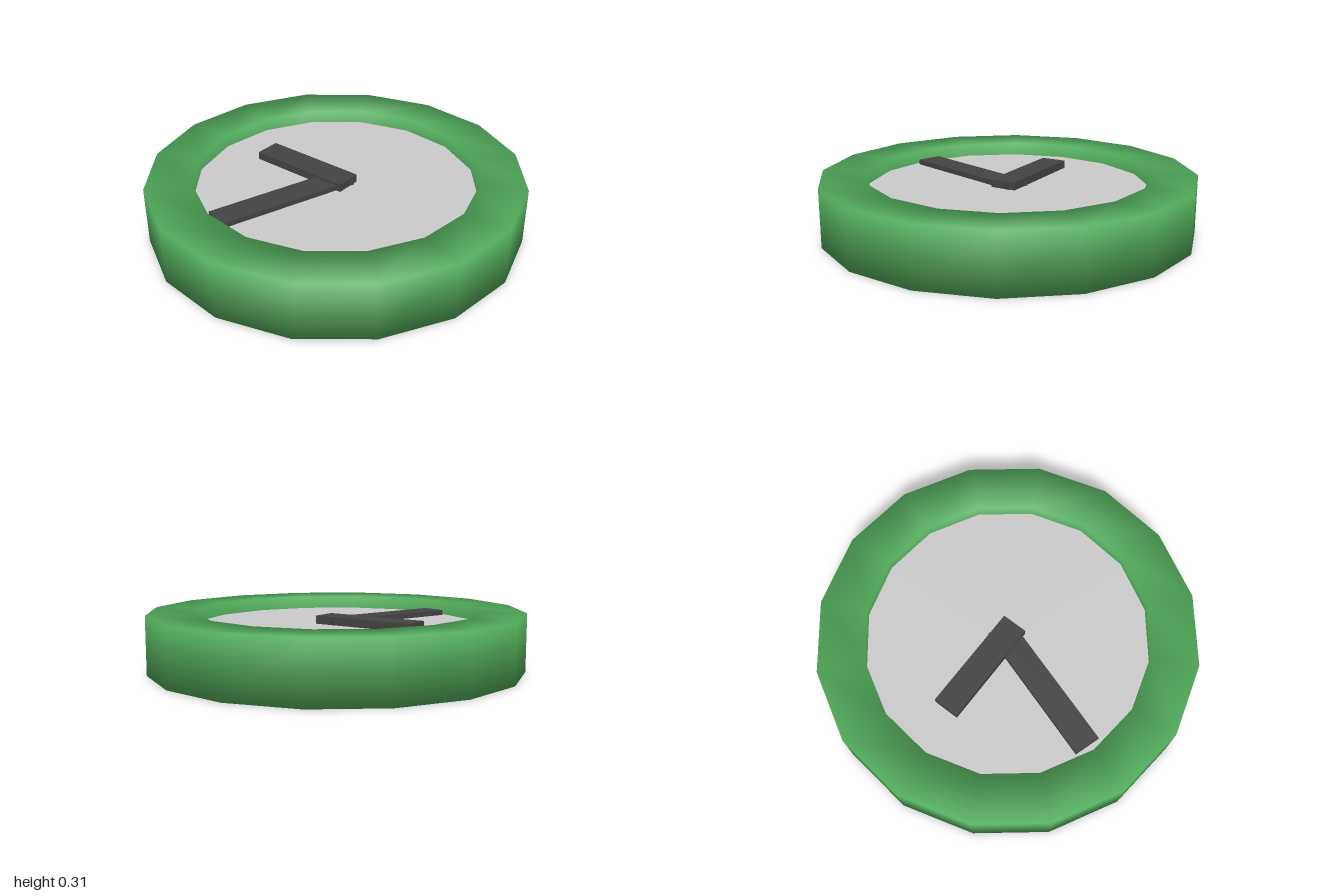
import * as THREE from 'three';

const SIDES = 16, HEIGHT = 0.31, OUTER = 1, INNER = 0.75;

// Ring with a rectangular section, softly shaded across its four edges
function ringGeometry() {
  const section = [[OUTER, 0], [OUTER, HEIGHT], [INNER, HEIGHT], [INNER, 0]];
  const positions = [], normals = [], index = [];
  for (let i = 0; i < SIDES; i++) {
    const a = (i / SIDES) * Math.PI * 2, s = Math.sin(a), c = Math.cos(a);
    section.forEach(([r, y], j) => {
      const out = r === OUTER ? Math.SQRT1_2 : -Math.SQRT1_2;
      positions.push(s * r, y, c * r);
      normals.push(s * out, y > 0 ? Math.SQRT1_2 : -Math.SQRT1_2, c * out);
      const k = (j + 1) % 4, n = (i + 1) % SIDES;
      const p = i * 4 + j, q = n * 4 + j, u = n * 4 + k, v = i * 4 + k;
      index.push(p, q, u, p, u, v);
    });
  }
  const g = new THREE.BufferGeometry();
  g.setAttribute('position', new THREE.Float32BufferAttribute(positions, 3));
  g.setAttribute('normal', new THREE.Float32BufferAttribute(normals, 3));
  g.setIndex(index);
  return g;
}

export function createModel() {
  const model = new THREE.Group();
  model.name = 'clock';
  const green = new THREE.MeshStandardMaterial({ color: 0x52ac5b });
  const grey = new THREE.MeshStandardMaterial({ color: 0xcccccc, flatShading: true });
  const dark = new THREE.MeshStandardMaterial({ color: 0x444444 });

  const add = (name, geometry, material, x, y, z, turn = 0) => {
    const mesh = new THREE.Mesh(geometry, material);
    mesh.name = name;
    mesh.position.set(x, y, z);
    mesh.rotation.y = turn;
    model.add(mesh);
  };

  add('frame', ringGeometry(), green, 0, 0, 0);

  // Dial slab, recessed from both faces of the frame
  add('dial', new THREE.CylinderGeometry(INNER, INNER, 0.17, SIDES), grey, 0, 0.155, 0);

  // Hands lying on the dial, the short one crossing over the long one
  add('minuteHand', new THREE.BoxGeometry(0.78, 0.035, 0.14), dark, -0.32, 0.25, -0.005);
  add('hourHand', new THREE.BoxGeometry(0.14, 0.045, 0.578), dark, -0.055, 0.261, -0.207, 0.309);

  return model;
}
